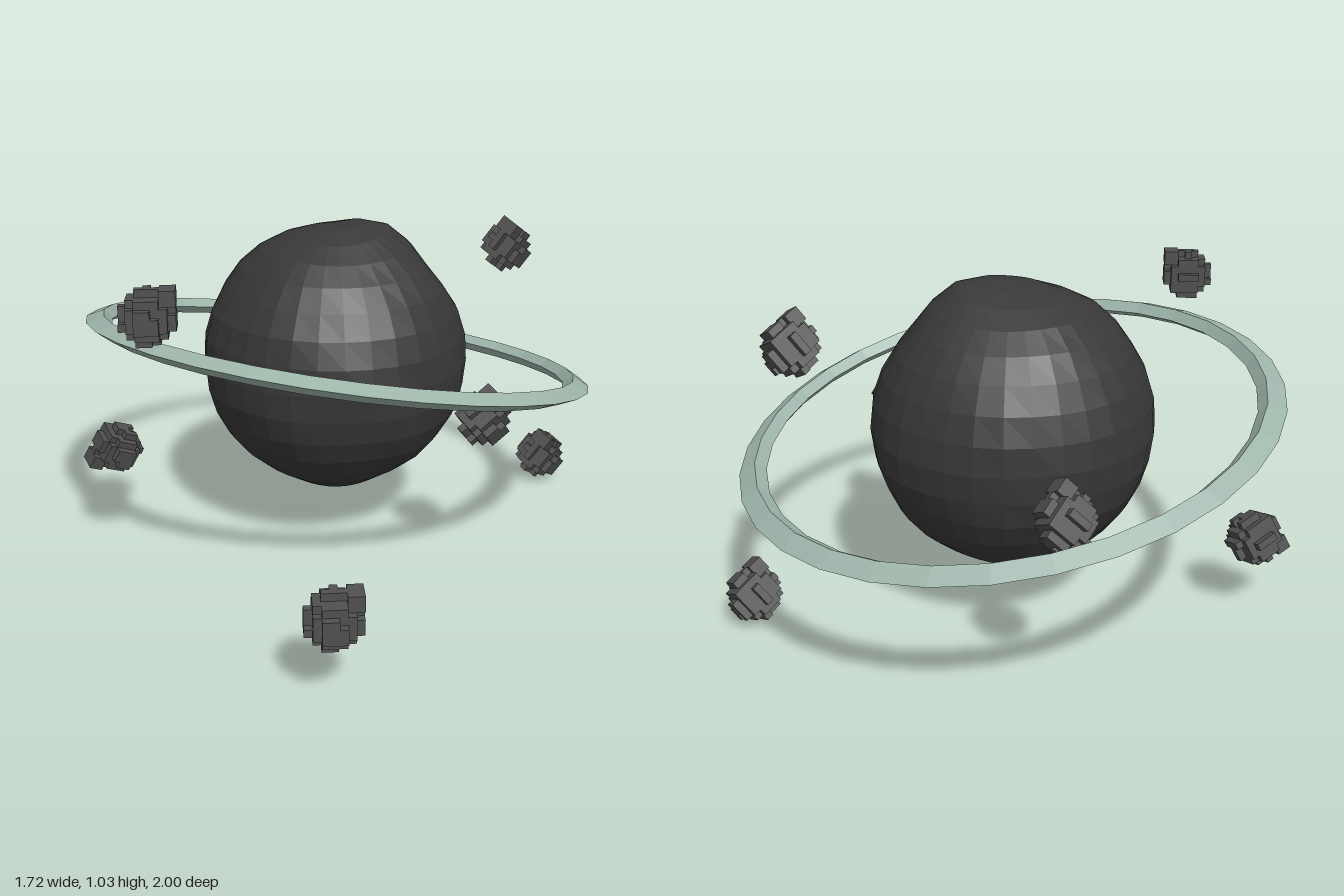
import * as THREE from 'three';
import { mergeGeometries } from 'three/addons/utils/BufferGeometryUtils.js';

const material = (color) => new THREE.MeshStandardMaterial({ color, flatShading: true });

// Repeatable pseudo-random value in 0..1 for a lattice cell
function hash(x, y, z) {
  const s = Math.sin(x * 12.99 + y * 78.23 + z * 37.72) * 43758.5453;
  return s - Math.floor(s);
}

// Faceted sphere with soft swellings near the top
function planetGeometry() {
  const geo = new THREE.SphereGeometry(0.43, 32, 16);
  const pos = geo.attributes.position;
  const bumps = [ // direction, height, sharpness
    [new THREE.Vector3(0.36, 0.93, 0).normalize(), 0.035, 22],
    [new THREE.Vector3(-0.5, 0.86, 0.05).normalize(), 0.014, 30],
    [new THREE.Vector3(0.75, 0.66, 0).normalize(), -0.012, 30],
    [new THREE.Vector3(0, -1, 0), 0.012, 12],
  ];
  const v = new THREE.Vector3(), d = new THREE.Vector3();
  for (let i = 0; i < pos.count; i++) {
    v.fromBufferAttribute(pos, i);
    d.copy(v).normalize();
    let r = 0.432 + 0.004 * Math.sin(d.x * 7 + d.y * 5) * Math.cos(d.z * 6 - d.y * 4);
    for (const [dir, h, k] of bumps) r += h * Math.exp(-k * (1 - d.dot(dir)));
    v.copy(d).multiplyScalar(r);
    pos.setXYZ(i, v.x, v.y, v.z);
  }
  geo.computeVertexNormals();
  return geo;
}

// Rough ball of small cubes with one protruding corner
function rockGeometry() {
  const cell = 0.0225, cubes = [];
  const filled = (x, y, z) =>
    Math.hypot(x, y, z) + (hash(x, y, z) - 0.5) * 0.5 < 3.25 ||
    (x >= 2 && x <= 3 && y >= 2 && y <= 3 && Math.abs(z) <= 1);
  for (let x = -3; x <= 3; x++)
    for (let y = -3; y <= 3; y++)
      for (let z = -3; z <= 3; z++) {
        const buried = filled(x + 1, y, z) && filled(x - 1, y, z) && filled(x, y + 1, z) &&
          filled(x, y - 1, z) && filled(x, y, z + 1) && filled(x, y, z - 1);
        if (!filled(x, y, z) || buried) continue;
        cubes.push(new THREE.BoxGeometry(cell, cell, cell).translate(x * cell, y * cell, z * cell));
      }
  return mergeGeometries(cubes);
}

export function createModel() {
  const model = new THREE.Group();
  model.name = 'ringedPlanet';

  // Planet
  const planet = new THREE.Mesh(planetGeometry(), material(0x383838));
  planet.name = 'planet';
  planet.position.set(-0.01, 0.585, -0.17);
  model.add(planet);

  // Tilted ring with a diamond cross-section
  const profile = [[0.745, 0], [0.775, -0.027], [0.828, 0], [0.775, 0.027], [0.745, 0]]
    .map(([x, y]) => new THREE.Vector2(x, y));
  const ring = new THREE.Mesh(new THREE.LatheGeometry(profile, 32), material(0x9eb5aa));
  ring.name = 'ring';
  ring.position.set(0.003, 0.605, -0.18);
  ring.quaternion.setFromUnitVectors(
    new THREE.Vector3(0, 1, 0), new THREE.Vector3(0.155, 1, -0.155).normalize());
  model.add(ring);

  // Floating rocks: position, rotation
  const rocks = new THREE.Group();
  rocks.name = 'rocks';
  const rockGeo = rockGeometry(), rockMat = material(0x505050);
  [
    [[-0.565, 0.905, 0.435], [0, 0, 0]],
    [[-0.095, 0.235, 0.92], [0, 0, 0]],
    [[0.6, 0.885, -0.405], [0.5, 0.6, 0.75]],
    [[0.765, 0.097, -0.41], [0.5, 0.6, 0.75]],
    [[0.41, 0.505, 0.24], [0.5, 0.5, 0.5]],
    [[-0.755, 0.245, -0.235], [0.3, 0.4, 2.6]],
    [[-0.185, 0.55, -0.775], [0.5, 0.5, 0.6]],
  ].forEach(([p, r], i) => {
    const rock = new THREE.Mesh(rockGeo, rockMat);
    rock.name = `rock${i + 1}`;
    rock.position.set(...p);
    rock.rotation.set(...r);
    rocks.add(rock);
  });
  model.add(rocks);

  return model;
}
